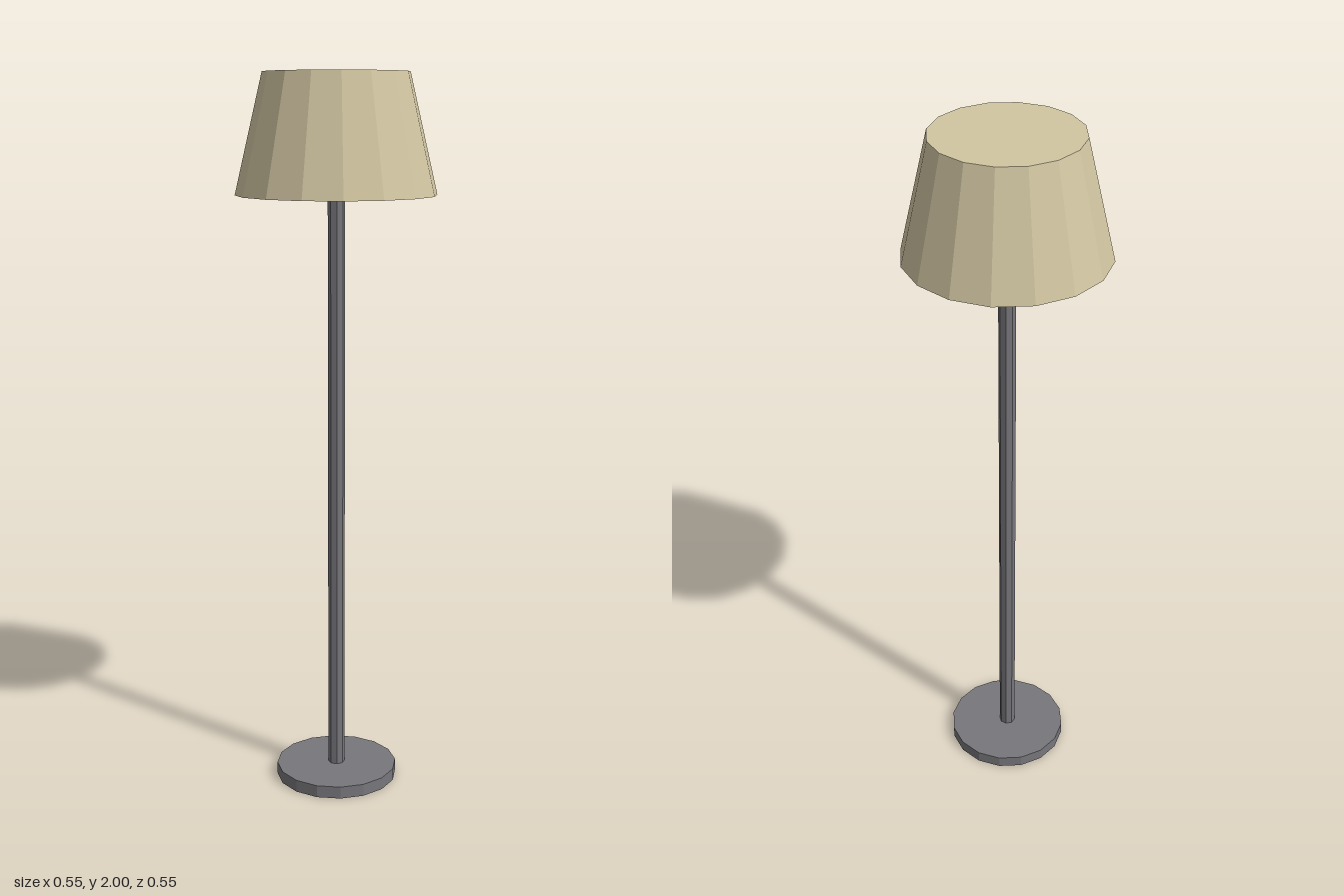
import * as THREE from 'three';

export function createModel() {
  const lamp = new THREE.Group();
  lamp.name = 'floorLamp';

  const metal = new THREE.MeshStandardMaterial({ color: 0x77777c, flatShading: true });
  const fabric = new THREE.MeshStandardMaterial({ color: 0xd2c6a2, flatShading: true });

  // Capped, faceted cylinder or cone spanning y0 to y1
  function addRound(name, rTop, rBottom, y0, y1, sides, material) {
    const geometry = new THREE.CylinderGeometry(rTop, rBottom, y1 - y0, sides);
    const mesh = new THREE.Mesh(geometry, material);
    mesh.name = name;
    mesh.position.y = (y0 + y1) / 2;
    lamp.add(mesh);
  }

  addRound('base', 0.173, 0.173, 0, 0.035, 16, metal);
  addRound('pole', 0.0235, 0.0235, 0.035, 1.678, 8, metal);
  addRound('shade', 0.197, 0.273, 1.678, 2, 16, fabric);

  return lamp;
}
